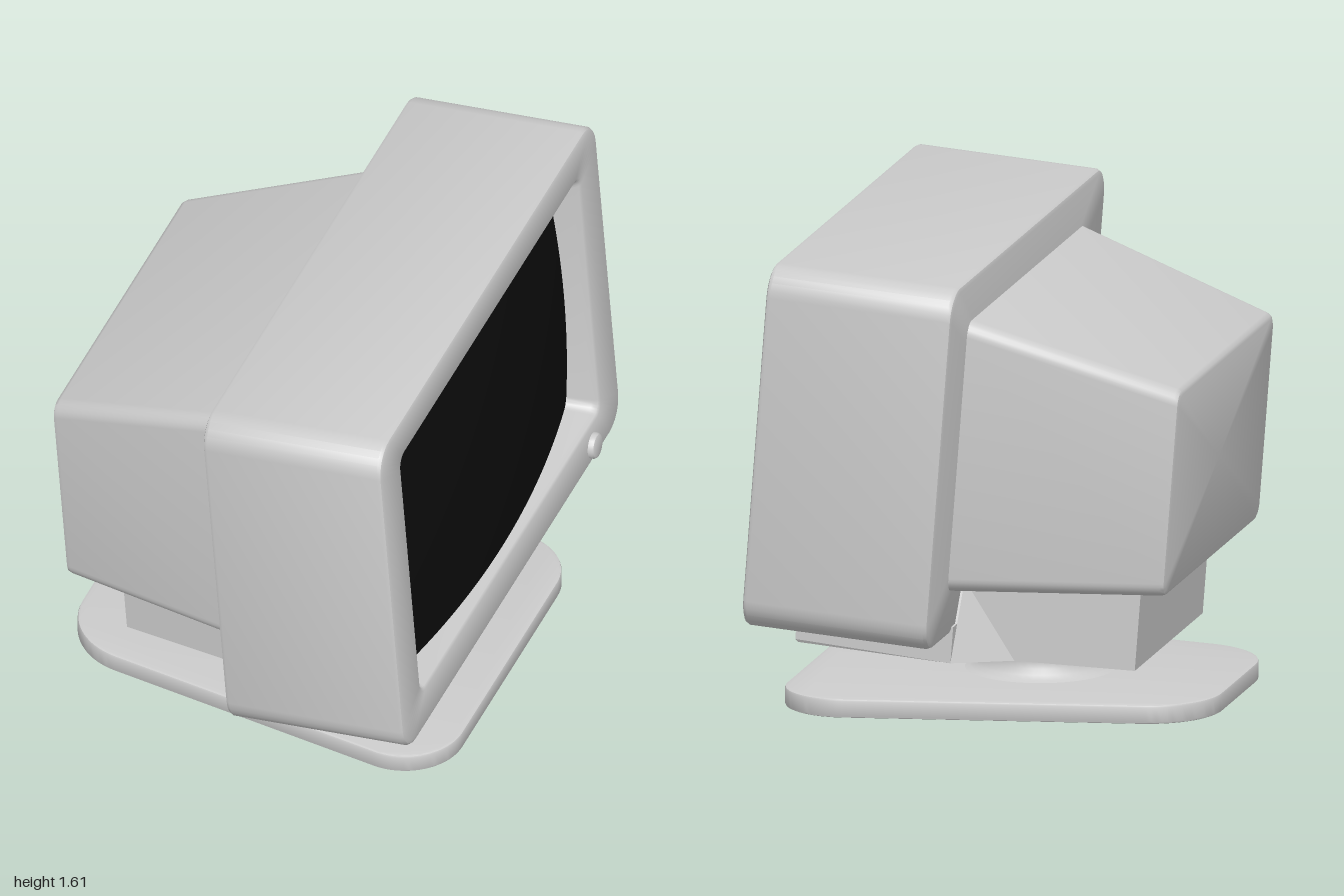
import * as THREE from 'three';
import { toCreasedNormals } from 'three/addons/utils/BufferGeometryUtils.js';
import { ConvexGeometry } from 'three/addons/geometries/ConvexGeometry.js';

const grey = new THREE.MeshStandardMaterial({ color: 0xcccccc });
const black = new THREE.MeshStandardMaterial({ color: 0x0c0c0c });

function add(parent, name, geometry, material = grey) {
  const mesh = new THREE.Mesh(geometry, material);
  mesh.name = name;
  parent.add(mesh);
  return mesh;
}

// Closed loft along x through rounded rectangles [x, halfZ, yMin, yMax, radius]
function loft(rings) {
  const steps = 6, pos = [], idx = [];
  for (const [x, hz, y0, y1, r] of rings) {
    for (let c = 0; c < 4; c++) {
      const cz = (c === 0 || c === 3 ? 1 : -1) * (hz - r);
      const cy = c < 2 ? y1 - r : y0 + r;
      for (let s = 0; s <= steps; s++) {
        const a = (c + s / steps) * Math.PI / 2;
        pos.push(x, cy + r * Math.sin(a), cz + r * Math.cos(a));
      }
    }
  }
  const n = 4 * (steps + 1), last = rings.length - 1;
  for (let i = 0; i < last; i++) {
    for (let j = 0; j < n; j++) {
      const k = (j + 1) % n, a = i * n, b = a + n;
      idx.push(a + j, b + j, a + k, a + k, b + j, b + k);
    }
  }
  for (const i of [0, last]) {
    const [x, , y0, y1] = rings[i], centre = pos.length / 3;
    pos.push(x, (y0 + y1) / 2, 0);
    for (let j = 0; j < n; j++) {
      const p = i * n + j, q = i * n + (j + 1) % n;
      idx.push(centre, ...(i === 0 ? [p, q] : [q, p]));
    }
  }
  const g = new THREE.BufferGeometry();
  g.setAttribute('position', new THREE.Float32BufferAttribute(pos, 3));
  g.setIndex(idx);
  return toCreasedNormals(g, 0.6);
}

// Convex block from points [x, y, z], mirrored across z
function hull(points) {
  return new ConvexGeometry(points.flatMap(([x, y, z]) =>
    [new THREE.Vector3(x, y, z), new THREE.Vector3(x, y, -z)]));
}

// Polygon with rounded corners [x, y, radius]
function roundedPolygon(corners) {
  const shape = new THREE.Shape(), n = corners.length;
  corners.forEach(([x, y, r], i) => {
    const p = new THREE.Vector2(x, y);
    const toward = (o) => new THREE.Vector2(o[0], o[1]).sub(p).normalize();
    const u = toward(corners[(i + n - 1) % n]), v = toward(corners[(i + 1) % n]);
    const half = Math.acos(u.dot(v)) / 2, t = r / Math.tan(half);
    const centre = u.clone().add(v).normalize().multiplyScalar(r / Math.sin(half)).add(p);
    const a = u.multiplyScalar(t).add(p).sub(centre), b = v.multiplyScalar(t).add(p).sub(centre);
    shape.absarc(centre.x, centre.y, r, a.angle(), b.angle(), false);
  });
  shape.closePath();
  return shape;
}

export function createModel() {
  const model = new THREE.Group();
  model.name = 'monitor';

  // Foot plate, narrower at the back
  const bevel = 0.008;
  const plate = new THREE.ExtrudeGeometry(
    roundedPolygon([[-0.732, -0.43, 0.25], [0.702, -0.675, 0.2], [0.702, 0.675, 0.2], [-0.732, 0.43, 0.25]]),
    { depth: 0.065 - 2 * bevel, bevelSize: bevel, bevelThickness: bevel, bevelSegments: 2, curveSegments: 10 });
  plate.rotateX(-Math.PI / 2).translate(0, bevel, 0);
  add(model, 'footPlate', toCreasedNormals(plate, 0.6));

  // Swivel column with a flared foot
  const profile = [[0.26, 0.063], [0.235, 0.07], [0.216, 0.083], [0.204, 0.102], [0.2, 0.125], [0.2, 0.235]]
    .map(([r, y]) => new THREE.Vector2(r, y));
  add(model, 'column', new THREE.LatheGeometry(profile, 40)).position.x = -0.05;

  // Everything above the column tilts back together
  const head = new THREE.Group();
  head.name = 'head';
  head.position.set(0.354, 0.967, 0);
  head.rotation.z = THREE.MathUtils.degToRad(4.4);
  model.add(head);

  // Front casing with bezel and sloping screen recess
  const f = 0.3225, h = 0.625, e = 0.016;
  add(head, 'casing', loft([
    [-f, 1 - e, -h + e, h - e, 0.09],
    [-f + 0.005, 1 - e * 0.3, -h + e * 0.3, h - e * 0.3, 0.1],
    [-f + e, 1, -h, h, 0.1],
    [f - e, 1, -h, h, 0.1],
    [f - 0.005, 1 - e * 0.3, -h + e * 0.3, h - e * 0.3, 0.1],
    [f, 1 - e, -h + e, h - e, 0.09],
    [f, 0.838, -0.487, 0.502, 0.045],
    [f - 0.006, 0.828, -0.478, 0.492, 0.04],
    [f - 0.025, 0.818, -0.47, 0.483, 0.035],
    [f - 0.14, 0.797, -0.455, 0.455, 0.03],
  ]));

  // Bulging screen glass, its rim buried in the recess walls
  const glass = new THREE.PlaneGeometry(1.65, 0.965, 32, 20);
  const p = glass.attributes.position;
  for (let i = 0; i < p.count; i++) {
    p.setZ(i, -0.005 - (p.getX(i) ** 2 + p.getY(i) ** 2) / 8);
  }
  glass.computeVertexNormals();
  glass.rotateY(Math.PI / 2).translate(f, 0.005, 0);
  add(head, 'screen', glass, black);

  // Tapering rear housing
  add(head, 'rearHousing', loft([
    [-1.033, 0.605, -0.402, 0.28, 0.04],
    [-1.028, 0.616, -0.413, 0.291, 0.045],
    [-1.015, 0.622, -0.418, 0.3, 0.05],
    [-0.31, 0.765, -0.465, 0.475, 0.05],
  ]));

  // Power button on the lower bezel
  const buttonProfile = [[0.045, -0.02], [0.045, 0.012], [0.041, 0.019], [0.034, 0.022], [0, 0.022]]
    .map(([r, y]) => new THREE.Vector2(r, y));
  const button = add(head, 'powerButton',
    toCreasedNormals(new THREE.LatheGeometry(buttonProfile, 20), 0.6));
  button.rotation.z = -Math.PI / 2;
  button.position.set(f, -0.562, -0.74);

  // Tilt mount: wide front tray, tapering rear block and slanted shoulders between them
  const low = -0.725;
  add(head, 'mountTray', hull([
    [-0.33, low, 0.675], [0.2, low, 0.67], [0.21, low + 0.01, 0.675],
    [-0.33, -0.6, 0.675], [0.21, -0.6, 0.675],
  ]));
  add(head, 'mountBlock', hull([
    [-0.908, low, 0.44], [-0.3, low, 0.57], [-0.908, -0.4, 0.44], [-0.3, -0.4, 0.57],
  ]));
  add(head, 'mountShoulders', hull([
    [-0.512, low, 0.525], [-0.33, low, 0.675], [-0.3, low, 0.675],
    [-0.33, -0.46, 0.565], [-0.3, -0.46, 0.565],
  ]));

  return model;
}
